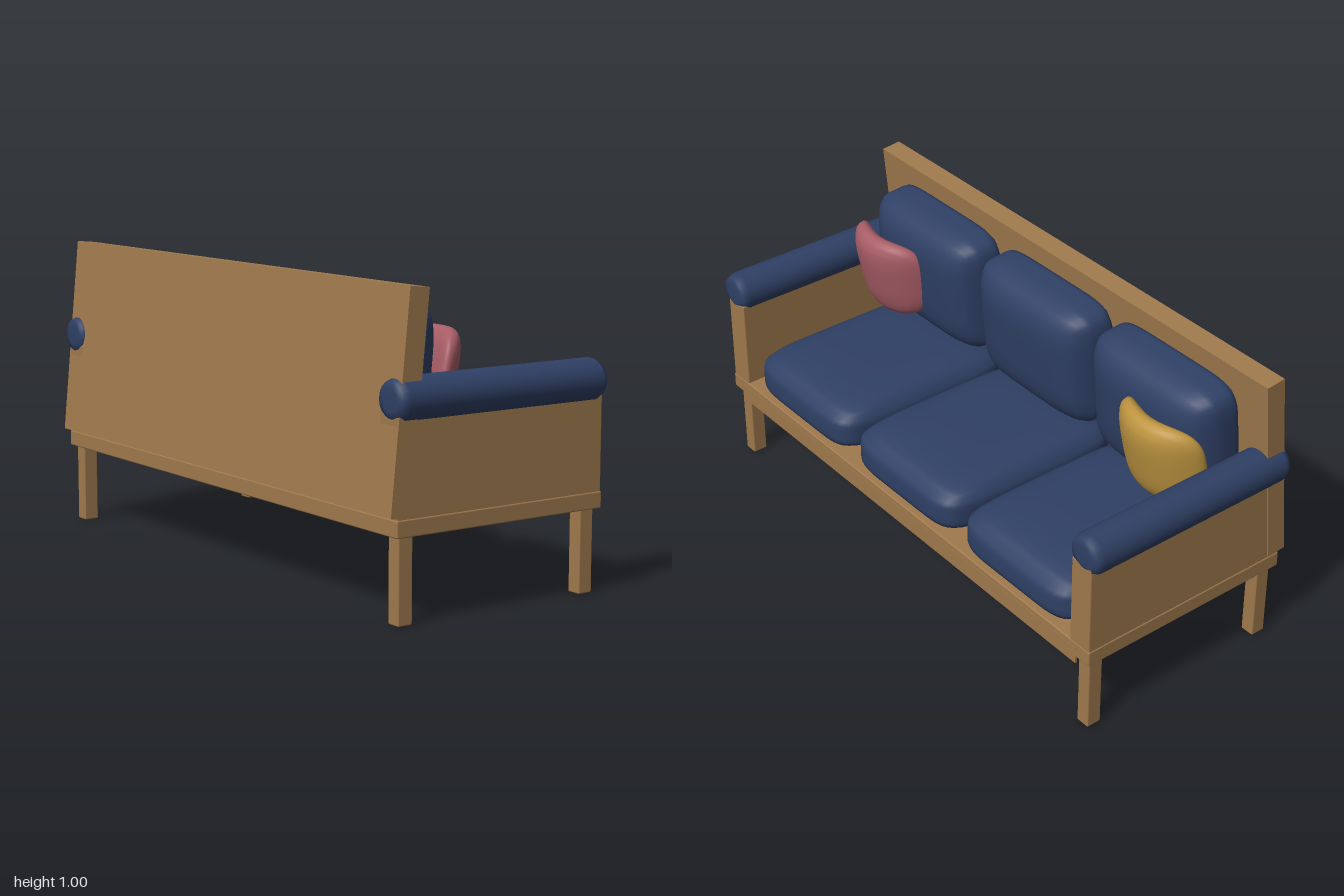
import * as THREE from 'three';
import { mergeVertices } from 'three/addons/utils/BufferGeometryUtils.js';
import { RoundedBoxGeometry } from 'three/addons/geometries/RoundedBoxGeometry.js';

const material = (name, color) => {
  const m = new THREE.MeshStandardMaterial({ color });
  m.name = name;
  return m;
};

// Superellipsoid cushion: y is the thickness; the faces thin out towards the rim.
function cushionGeometry(w, h, d, n, rim, flatBase, bend = 0) {
  let g = new THREE.BoxGeometry(2, 2, 2, 20, 8, 20);
  g.deleteAttribute('uv');
  g.deleteAttribute('normal');
  g = mergeVertices(g, 1e-4);
  const p = g.attributes.position;
  for (let i = 0; i < p.count; i++) {
    const x = p.getX(i), y = p.getY(i), z = p.getZ(i);
    const s = (Math.abs(x) ** n + Math.abs(y) ** n + Math.abs(z) ** n) ** (-1 / n);
    const u = x * s, v = z * s;
    let t = y * s;
    const puff = rim + (1 - rim) * Math.sqrt(Math.max(0, (1 - u ** 4) * (1 - v ** 4)));
    if (flatBase) t = (t + 1) * puff - 1;
    else t *= puff;
    const px = u * w / 2;
    p.setXYZ(i, px, t * h / 2 - bend * px * px, v * d / 2);
  }
  g.computeVertexNormals();
  return g;
}

export function createModel() {
  const root = new THREE.Group();
  root.name = 'sofa';
  const wood = material('oak wood', 0x9f794d);
  const blue = material('navy fabric', 0x2f4065);
  const pink = material('rose fabric', 0xa85d66);
  const mustard = material('mustard fabric', 0xbd9440);

  const add = (name, geometry, mat, x, y, z, rx = 0) => {
    const m = new THREE.Mesh(geometry, mat);
    m.name = name;
    m.position.set(x, y, z);
    m.rotation.x = rx;
    root.add(m);
    return m;
  };
  const LEAN = -0.098;

  // Base board, thin rail below its seat side, and leaning back panel
  add('baseBoard', new RoundedBoxGeometry(1.94, 0.054, 0.79, 2, 0.005), wood, 0, 0.294, -0.01);
  add('seatRail', new THREE.BoxGeometry(1.82, 0.06, 0.008), wood, 0, 0.273, -0.402);
  add('backPanel', new THREE.BoxGeometry(1.94, 0.672, 0.07), wood, 0, 0.66, 0.34, LEAN);

  // Arm roll: a long cylinder with bevelled ends
  const rollGeometry = new THREE.LatheGeometry([
    [0, 0], [0.035, 0], [0.057, 0.004], [0.068, 0.027],
    [0.068, 0.763], [0.057, 0.786], [0.035, 0.79], [0, 0.79],
  ].map(([r, y]) => new THREE.Vector2(r, y)), 24);
  const armGeometry = new RoundedBoxGeometry(0.088, 0.32, 0.785, 2, 0.005);
  const legGeometry = new RoundedBoxGeometry(0.05, 0.27, 0.053, 2, 0.005);

  for (const side of [-1, 1]) {
    const label = side > 0 ? 'left' : 'right';
    add(label + 'ArmPanel', armGeometry, wood, side * 0.923, 0.475, -0.011);
    add(label + 'ArmRoll', rollGeometry, blue, side * 0.932, 0.667, -0.405, Math.PI / 2);
    for (const [end, z] of [['Seat', -0.36], ['Back', 0.34]])
      add(label + end + 'Leg', legGeometry, wood, side * 0.928, 0.135, z);
  }

  // Three seat cushions and three back cushions
  const seatGeometry = cushionGeometry(0.556, 0.165, 0.72, 7, 0.72, true);
  const backGeometry = cushionGeometry(0.55, 0.2, 0.44, 7, 0.55, true);
  for (let i = -1; i <= 1; i++) {
    add('seatCushion', seatGeometry, blue, i * 0.578 - 0.005, 0.402, -0.038);
    add('backCushion', backGeometry, blue, i * 0.578 - 0.005, 0.71, 0.205, -Math.PI / 2 + LEAN);
  }

  // Small throw pillows, curling back at their ends
  const pillowGeometry = cushionGeometry(0.35, 0.1, 0.31, 3.2, 0.6, false, -0.5);
  pillowGeometry.computeBoundingBox();
  const bentPillow = cushionGeometry(0.35, 0.1, 0.31, 3.2, 0.6, false, 2.2);
  for (const [name, mat, x] of [['rosePillow', pink, 0.7], ['mustardPillow', mustard, -0.7]])
    add(name, bentPillow, mat, x, 0.69, 0.062, -Math.PI / 2 - 0.22);

  return root;
}
